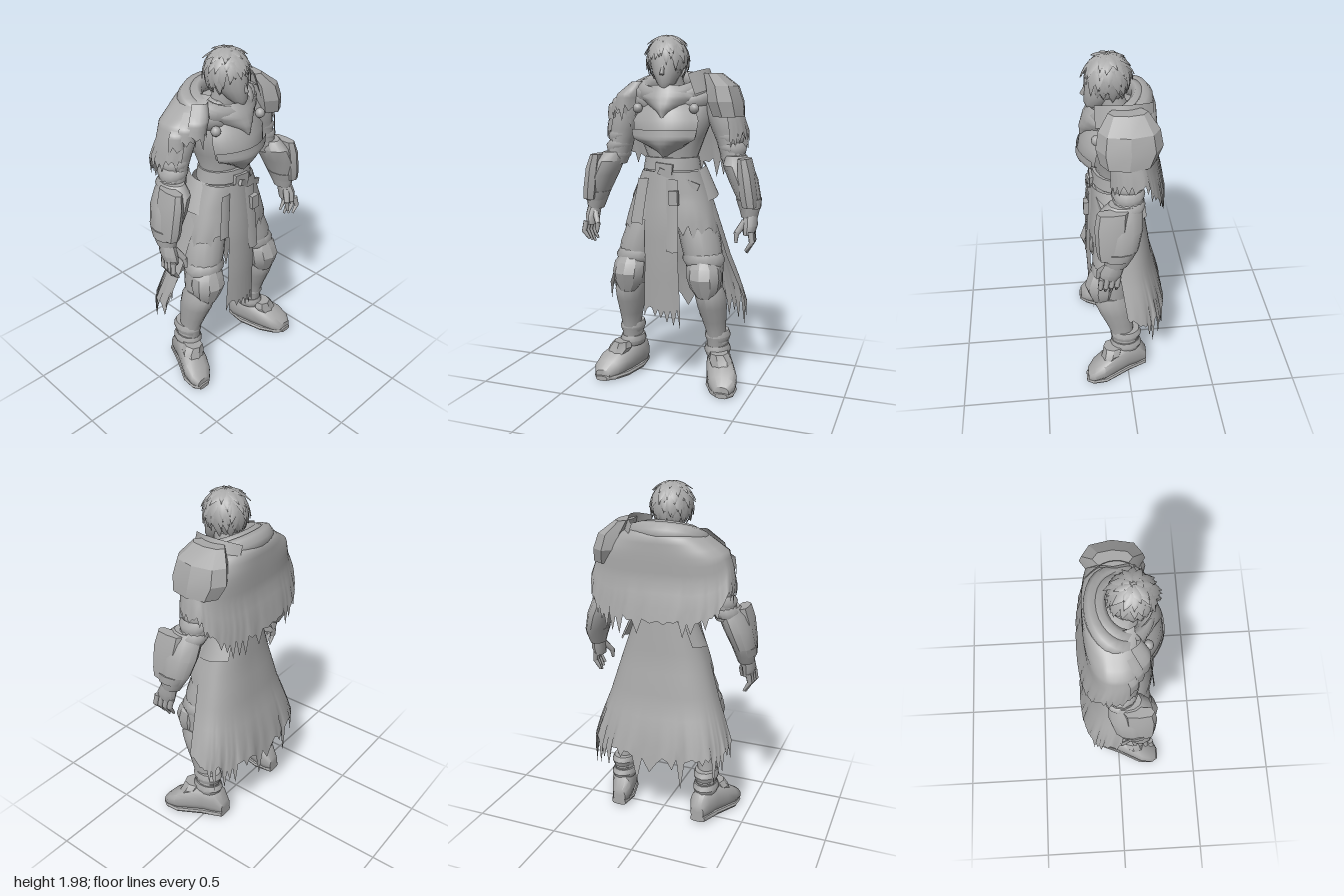
import * as THREE from 'three';
import { mergeGeometries, toCreasedNormals } from 'three/addons/utils/BufferGeometryUtils.js';

const grey = new THREE.MeshStandardMaterial({ color: 0xa8a8a8, side: THREE.DoubleSide });
grey.name = 'clay grey';

let seed = 7;
const rand = () => (seed = (seed * 16807) % 2147483647) / 2147483647;
const pw = (v, p) => Math.sign(v) * Math.abs(v) ** p;
const V = (x, y, z) => new THREE.Vector3(x, y, z);

function fromGrid(pos, idx, crease) {
  const g = new THREE.BufferGeometry();
  g.setAttribute('position', new THREE.Float32BufferAttribute(pos, 3));
  g.setIndex(idx);
  g.computeVertexNormals();
  return crease ? toCreasedNormals(g, crease) : g;
}

// closed body from rings [x, y, z, rx, rz], lowest first
function loft(rings, n = 16, p = 1, crease = 0.7) {
  const pos = [], idx = [], m = rings.length;
  for (const [x, y, z, rx, rz] of rings)
    for (let i = 0; i < n; i++) {
      const a = (i / n) * Math.PI * 2;
      pos.push(x + rx * pw(Math.sin(a), p), y, z + rz * pw(Math.cos(a), p));
    }
  const bottom = m * n, top = bottom + 1;
  pos.push(...rings[0].slice(0, 3), ...rings[m - 1].slice(0, 3));
  for (let i = 0; i < n; i++) {
    const k = (i + 1) % n;
    for (let j = 0; j < m - 1; j++) {
      const a = j * n + i, b = j * n + k;
      idx.push(a, b, b + n, a, b + n, a + n);
    }
    idx.push(bottom, k, i, top, (m - 1) * n + i, (m - 1) * n + k);
  }
  return fromGrid(pos, idx, crease);
}

// open sheet over u in -1..1 and v in 0..1, with a torn lower edge
function sheet(cols, rows, point, torn = 0, hem = () => 0) {
  const pos = [], idx = [];
  const tear = Array.from({ length: cols + 1 }, (_, i) => (i % 2 ? 0.25 : 1) * rand() ** 1.5 * torn);
  for (let j = 0; j <= rows; j++)
    for (let i = 0; i <= cols; i++) {
      const v = j / rows, u = (i / cols) * 2 - 1, q = point(u, v);
      pos.push(q[0], q[1] + hem(u) * v ** 3 - tear[i] * v ** 12, q[2]);
    }
  for (let j = 0; j < rows; j++)
    for (let i = 0; i < cols; i++) {
      const a = j * (cols + 1) + i, b = a + cols + 1;
      idx.push(a, b, b + 1, a, b + 1, a + 1);
    }
  return fromGrid(pos, idx);
}

// linear reading of a list of rows
function at(list, v) {
  const t = v * (list.length - 1), i = Math.min(Math.floor(t), list.length - 2);
  return list[i].map((c, k) => c + (list[i + 1][k] - c) * (t - i));
}

// cloth wrapped about the body, rows [y, rx, rz, cz]; angle 0 is the back
const wrap = (list, a0, a1, cols, torn, hem) => sheet(cols, 12, (u, v) => {
  const [y, rx, rz, cz] = at(list, v), a = a0 + (a1 - a0) * (u + 1) / 2;
  return [rx * pw(Math.sin(a), 0.8), y, cz - rz * pw(Math.cos(a), 0.8)];
}, torn, hem);

// front panel, rows [y, left x, right x, z], bulging forward
const panel = (list, bulge, cols = 10, torn = 0, rows = 9) => sheet(cols, rows, (u, v) => {
  const [y, l, r, z] = at(list, v);
  return [(l + r) / 2 + u * (r - l) / 2, y, z - bulge * u * u];
}, torn);

// tapered bar between two points
function bar(a, b, r0, r1, n = 6) {
  const d = b.clone().sub(a), g = new THREE.CylinderGeometry(r1, r0, d.length(), n);
  g.applyQuaternion(new THREE.Quaternion().setFromUnitVectors(V(0, 1, 0), d.clone().normalize()));
  const c = a.clone().add(b).multiplyScalar(0.5);
  return g.translate(c.x, c.y, c.z);
}

export function createModel() {
  const model = new THREE.Group();
  const add = (name, g, parent = model) => {
    const mesh = new THREE.Mesh(g, grey);
    mesh.name = name;
    parent.add(mesh);
    return mesh;
  };
  const box = (name, size, p, rot) => {
    const mesh = add(name, new THREE.BoxGeometry(...size));
    mesh.position.set(...p);
    mesh.rotation.set(...rot);
  };

  // head, neck and hair
  add('head', loft([[0, 1.69, 0.165, 0.02, 0.025], [0, 1.72, 0.14, 0.05, 0.065], [-0.01, 1.78, 0.105, 0.08, 0.1],
    [-0.015, 1.86, 0.085, 0.1, 0.115], [-0.015, 1.93, 0.08, 0.085, 0.095], [-0.015, 1.97, 0.08, 0.04, 0.05]]));
  add('nose', bar(V(0, 1.82, 0.19), V(0, 1.765, 0.212), 0.008, 0.014, 4));
  add('neck', loft([[0, 1.58, 0.02, 0.09, 0.09], [0, 1.76, 0.07, 0.065, 0.07]]));
  const scalp = (polar, a, s) => [-0.015 + 0.113 * s * Math.sin(polar) * Math.sin(a),
    1.855 + 0.125 * s * Math.cos(polar), 0.08 + 0.118 * s * Math.sin(polar) * Math.cos(a)];
  const locks = [];
  for (let row = 0; row < 6; row++) {
    const count = 8 + row * 3;
    for (let i = 0; i < count; i++) {
      const a = (i + 0.5 * (row % 2)) / count * Math.PI * 2 + 0.3 * rand(), p = 0.05 + row * 0.3 + 0.1 * rand();
      if (row > 3 && Math.cos(a) > 0.5) continue;
      const len = 0.65 + 0.45 * rand(), lift = 0.06 + 0.14 * rand(), lean = 0.5 * (rand() - 0.5);
      locks.push(sheet(2, 5, (u, v) => scalp(Math.min(p + len * v, 2.5),
        a + lean * v + u * 0.3 * (1 - v ** 1.5) / Math.max(Math.sin(p + len * v), 0.55), 0.97 + lift * v * v + 0.04 * (1 - Math.abs(u)))));
    }
  }
  add('hair', mergeGeometries(locks));

  // torso and armour
  add('torso', loft([[0, 1.0, 0.03, 0.19, 0.13], [0, 1.15, 0.04, 0.165, 0.12], [0, 1.3, 0.04, 0.14, 0.11],
    [0, 1.42, 0.04, 0.185, 0.15], [0, 1.54, 0.02, 0.23, 0.16], [0, 1.64, 0, 0.23, 0.13], [0, 1.7, 0, 0.12, 0.1]], 20));
  add('breastplate', panel([[1.61, -0.15, 0.15, 0.19], [1.52, -0.19, 0.19, 0.235], [1.43, -0.18, 0.18, 0.25], [1.38, -0.11, 0.11, 0.24], [1.32, -0.01, 0.01, 0.2]], 0.08, 12, 0, 8));
  add('breastplateRim', panel([[1.47, -0.19, 0.19, 0.252], [1.42, -0.18, 0.18, 0.258], [1.385, -0.11, 0.11, 0.248], [1.33, -0.015, 0.015, 0.21]], 0.07));
  for (const y of [1.2, 1.28]) add('waistBand', loft([[0, y - 0.035, 0.045, 0.168, 0.135], [0, y + 0.035, 0.045, 0.155, 0.128]], 20));
  box('beltBuckle', [0.1, 0.07, 0.02], [0, 1.25, 0.18], [0, 0, -0.1]);
  box('slantedBelt', [0.24, 0.035, 0.02], [0.08, 1.2, 0.165], [0, 0.3, -0.4]);

  // hood lying round the neck, and scarf
  [[0.15, 0.13, 0.05, 1.69, 0.035], [0.19, 0.14, 0.045, 1.69, 0.01], [0.21, 0.135, 0.045, 1.655, 0.005]].forEach(([rx, rz, t, y, z]) => {
    const g = new THREE.TorusGeometry(1, t / 0.17, 8, 28).rotateX(Math.PI / 2);
    g.scale(rx, 0.2, rz).rotateX(0.38).translate(-0.015, y, z);
    add('hoodFold', g);
  });
  add('scarf', panel([[1.71, -0.13, 0.12, 0.185], [1.65, -0.16, 0.15, 0.215], [1.59, -0.09, 0.09, 0.235], [1.54, -0.02, 0.03, 0.235]], 0.08, 8, 0.02));
  for (const s of [-1, 1]) add('cloakClasp', new THREE.SphereGeometry(0.028, 10, 8).translate(s * 0.165, 1.585, 0.155));

  // shoulder cape, longest at the back
  add('cape', wrap([[1.75, 0.15, 0.13, 0], [1.715, 0.24, 0.155, -0.01], [1.635, 0.365, 0.165, -0.005],
    [1.55, 0.395, 0.165, -0.005], [1.46, 0.42, 0.19, -0.025]], -2.2, 2.2, 72, 0.12, u => -0.17 * Math.max(0, 1 - (u * 1.7) ** 4)));

  // left shoulder plates
  add('pauldron', loft([[0.32, 1.54, 0.01, 0.085, 0.14], [0.3, 1.62, 0, 0.095, 0.17], [0.28, 1.705, 0, 0.085, 0.155],
    [0.225, 1.775, 0, 0.045, 0.1]], 8, 0.9, 0.3));
  add('pauldronCollar', sheet(10, 2, (u, v) => [0.2 - 0.07 * u * u + 0.04 * v, 1.8 - 0.03 * u * u - 0.11 * v, 0.01 + 0.15 * u]));
  // right shoulder rags
  for (let i = 0; i < 3; i++)
    add('shoulderRag', panel([[1.73 - i * 0.04, -0.24 - i * 0.04, -0.14 - i * 0.05, 0.11 - i * 0.02],
      [1.66 - i * 0.03, -0.31 - i * 0.04, -0.17 - i * 0.05, 0.16 - i * 0.03],
      [1.6 - i * 0.03, -0.33 - i * 0.035, -0.19 - i * 0.05, 0.16 - i * 0.03]], 0.05, 8, 0.12, 6));

  // coat, overskirt and front cloths
  add('coatTail', wrap([[1.24, 0.17, 0.125, 0.025], [1.0, 0.255, 0.15, 0.03], [0.76, 0.33, 0.165, 0.005], [0.53, 0.42, 0.2, -0.035]],
    -1.75, 1.75, 56, 0.2, u => -0.06 * (1 - u * u)));
  add('overskirt', wrap([[1.24, 0.165, 0.14, 0.045], [1.1, 0.225, 0.15, 0.04], [0.97, 0.28, 0.165, 0.04]], 1.2, 5.08, 34, 0.12, u => -0.13 * u * u));
  add('frontCloth', panel([[1.24, -0.09, 0.06, 0.195], [0.95, -0.11, 0.08, 0.22], [0.7, -0.11, 0.09, 0.22], [0.47, -0.12, 0.1, 0.21]], 0.02, 12, 0.17));
  add('frontStrap', panel([[1.2, 0.015, 0.085, 0.2], [0.8, 0.03, 0.1, 0.23]], 0.005, 4, 0.01, 3));
  add('sideStrap', panel([[1.2, -0.15, -0.09, 0.19], [0.95, -0.19, -0.12, 0.215]], 0.005, 4, 0.02, 3));
  box('beltPouch', [0.05, 0.08, 0.03], [0.07, 1.1, 0.215], [0, 0, 0.05]);

  for (const s of [-1, 1]) {
    const side = new THREE.Group();
    side.name = s > 0 ? 'leftLimbs' : 'rightLimbs';
    model.add(side);
    const limb = (name, rings, n, p, c) => add(name, loft(rings.map(r => [s * r[0], ...r.slice(1)]), n, p, c), side);
    const P = (x, y, z) => V(s * x, y, z);

    // arm
    limb('upperArm', [[0.36, 1.26, 0.02, 0.06, 0.07], [0.345, 1.33, 0.01, 0.07, 0.08], [0.325, 1.4, 0.01, 0.07, 0.08],
      [0.31, 1.46, 0, 0.085, 0.095], [0.285, 1.55, 0, 0.095, 0.11], [0.255, 1.64, 0, 0.075, 0.09]]);
    for (const [x, y] of [[0.325, 1.43], [0.34, 1.37], [0.355, 1.31]])
      limb('sleeveFold', [[x + 0.01, y - 0.03, 0.01, 0.065, 0.075], [x, y, 0.01, 0.08, 0.088], [x - 0.01, y + 0.03, 0.01, 0.065, 0.075]], 14, 1, 1.2);
    limb('forearm', [[0.465, 1.0, 0.085, 0.045, 0.06], [0.462, 1.05, 0.075, 0.057, 0.08], [0.455, 1.1, 0.065, 0.064, 0.1],
      [0.42, 1.2, 0.06, 0.078, 0.12], [0.385, 1.28, 0.055, 0.078, 0.115], [0.37, 1.33, 0.035, 0.055, 0.08]], 12);
    limb('vambrace', [[0.475, 1.06, 0.12, 0.04, 0.06], [0.468, 1.11, 0.115, 0.045, 0.075], [0.45, 1.24, 0.11, 0.042, 0.085], [0.435, 1.32, 0.1, 0.03, 0.08]], 8, 0.7, 0.4);
    limb('cuff', [[0.465, 1.05, 0.08, 0.06, 0.08], [0.456, 1.1, 0.07, 0.069, 0.1]], 12);

    // hand
    limb('palm', [[0.47, 0.91, 0.12, 0.03, 0.055], [0.475, 0.96, 0.11, 0.04, 0.06], [0.467, 1.04, 0.085, 0.038, 0.045]], 10);
    for (let i = 0; i < 4; i++) {
      const z = 0.075 + i * 0.03, x = 0.48 + 0.004 * i;
      add('finger', mergeGeometries([bar(P(x, 0.93, z), P(x + 0.01, 0.87, z + 0.01), 0.017, 0.015),
        bar(P(x + 0.01, 0.875, z + 0.01), P(x - 0.025, 0.805 + 0.012 * Math.abs(i - 1), z + 0.01), 0.015, 0.007)]), side);
    }
    add('thumb', mergeGeometries([bar(P(0.45, 0.98, 0.13), P(0.415, 0.92, 0.17), 0.02, 0.016), bar(P(0.415, 0.925, 0.17), P(0.415, 0.87, 0.18), 0.016, 0.008)]), side);

    // leg
    limb('thigh', [[0.225, 0.58, 0.08, 0.085, 0.09], [0.21, 0.7, 0.085, 0.105, 0.105], [0.185, 0.82, 0.075, 0.115, 0.12], [0.145, 0.95, 0.045, 0.115, 0.125], [0.1, 1.06, 0.03, 0.1, 0.12]]);
    limb('trouserFold', [[0.21, 0.7, 0.09, 0.1, 0.1], [0.203, 0.745, 0.09, 0.122, 0.118], [0.195, 0.79, 0.08, 0.105, 0.11]], 14, 1, 1.2);
    limb('kneeGuard', [[0.235, 0.54, 0.15, 0.05, 0.055], [0.23, 0.59, 0.145, 0.085, 0.08], [0.225, 0.65, 0.145, 0.1, 0.1], [0.22, 0.71, 0.14, 0.095, 0.085], [0.215, 0.77, 0.13, 0.05, 0.06]], 10, 1, 0.5);
    limb('greave', [[0.265, 0.2, 0.015, 0.055, 0.075], [0.265, 0.31, 0.035, 0.056, 0.07], [0.258, 0.38, 0.05, 0.067, 0.083], [0.25, 0.47, 0.07, 0.083, 0.103],
      [0.245, 0.54, 0.09, 0.088, 0.108], [0.235, 0.59, 0.095, 0.08, 0.09]], 14, 1, 0.8);
    for (const [y, r] of [[0.2, 0.076], [0.245, 0.062], [0.285, 0.074]])
      limb('ankleWrap', [[0.268, y - 0.03, 0.01, r - 0.01, r + 0.008], [0.267, y, 0.01, r, r + 0.02], [0.265, y + 0.03, 0.012, r - 0.01, r + 0.008]], 14);
    limb('boot', [[0.255, -0.115, -0.075, 0.04, 0.045], [0.258, -0.07, -0.105, 0.062, 0.09], [0.275, 0.0, -0.115, 0.075, 0.1], [0.305, 0.08, -0.1, 0.085, 0.09],
      [0.335, 0.15, -0.08, 0.09, 0.072], [0.352, 0.21, -0.058, 0.078, 0.053], [0.362, 0.25, -0.035, 0.045, 0.03]], 14, 0.85).geometry.rotateX(Math.PI / 2);
    limb('instepFlap', [[0.33, 0.125, 0.13, 0.06, 0.04], [0.31, 0.17, 0.1, 0.07, 0.055], [0.3, 0.205, 0.09, 0.05, 0.06]], 8, 0.9, 0.4);
    limb('sole', [[0.258, -0.115, -0.035, 0.045, 0.02], [0.275, 0, -0.028, 0.075, 0.02], [0.33, 0.14, -0.02, 0.093, 0.02],
      [0.355, 0.22, -0.018, 0.072, 0.018], [0.365, 0.26, -0.016, 0.035, 0.014]], 12, 0.6).geometry.rotateX(Math.PI / 2);

    // hip plate
    add('hipPlate', sheet(6, 4, (u, v) => [s * (0.18 + 0.075 * v - 0.045 * u * u), 1.26 - 0.17 * v - 0.02 * u, 0.0 + 0.09 * u * (1 + 0.2 * v)]), side);
  }
  return model;
}
